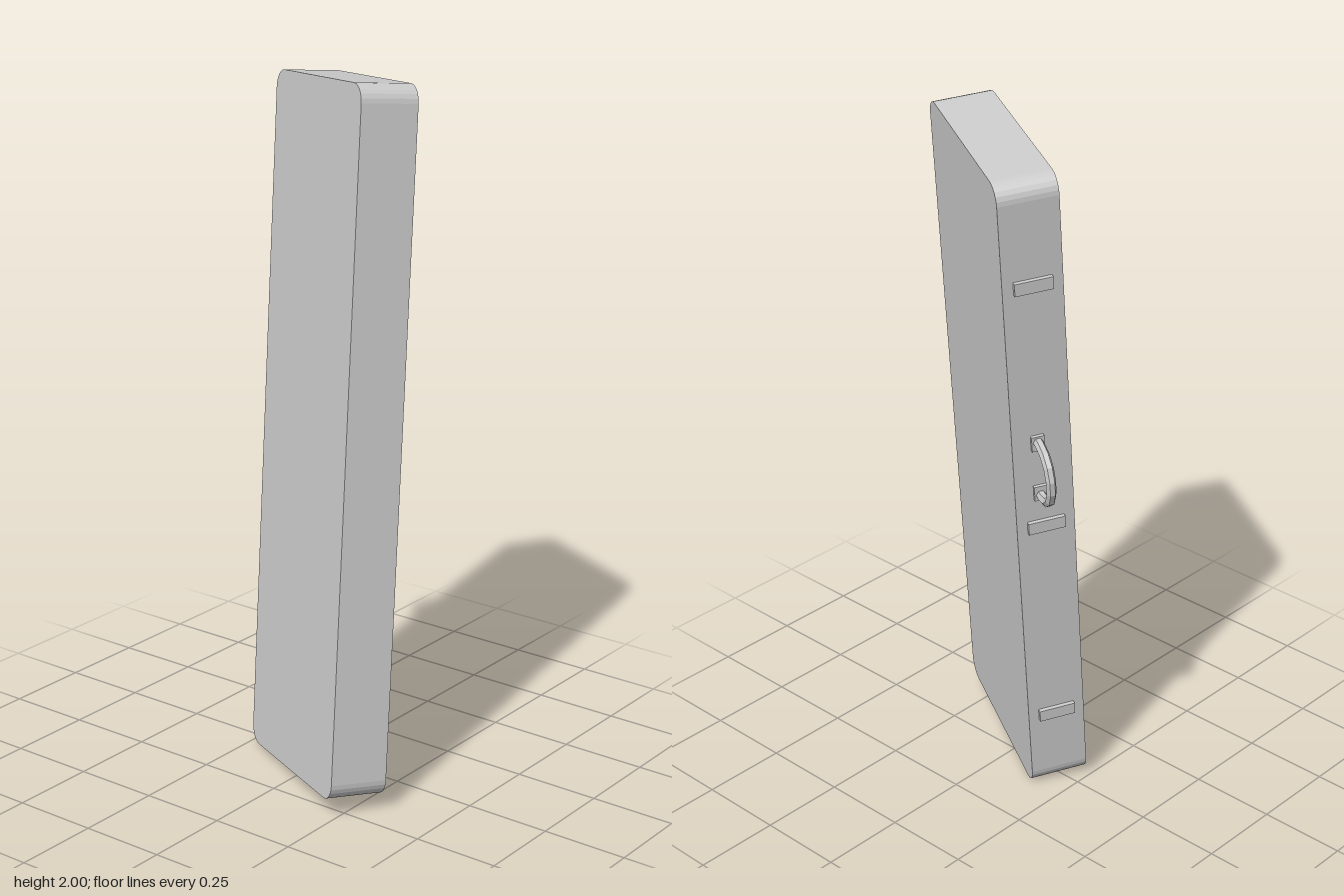
import * as THREE from 'three';

const W = 0.57, H = 1.96, D = 0.165, R = 0.05;

export function createModel() {
  const model = new THREE.Group();
  const leaning = new THREE.Group();
  leaning.name = 'leaningCase';
  model.add(leaning);
  const grey = new THREE.MeshStandardMaterial({ color: 0xcccccc, flatShading: true });

  const add = (name, geometry, x = 0, y = 0, z = 0) => {
    const mesh = new THREE.Mesh(geometry, grey);
    mesh.name = name;
    mesh.position.set(x, y, z);
    leaning.add(mesh);
    return mesh;
  };

  // Case body: rounded rectangle with sharp front and back rims
  const a = W / 2, b = H / 2;
  const outline = new THREE.Shape();
  outline.moveTo(-a + R, -b);
  outline.absarc(a - R, -b + R, R, -Math.PI / 2, 0);
  outline.absarc(a - R, b - R, R, 0, Math.PI / 2);
  outline.absarc(-a + R, b - R, R, Math.PI / 2, Math.PI);
  outline.absarc(-a + R, -b + R, R, Math.PI, Math.PI * 1.5);
  const body = new THREE.ExtrudeGeometry(outline, { depth: D, bevelEnabled: false, curveSegments: 3 });
  add('caseBody', body.translate(0, 0, -D / 2));

  // Three latches along the opening side
  for (const y of [0.69, -0.06, -0.72]) {
    add('latch', new THREE.BoxGeometry(0.024, 0.036, 0.105), -a, y, 0);
  }

  // Carrying handle: faceted loop with a small mount at each end
  const handleY = 0.13, handleZ = -0.012;
  const half = [[0.085, -0.01], [0.083, 0.04], [0.066, 0.077], [0.03, 0.101]];
  const path = [...half, ...half.map(([y, out]) => [-y, out]).reverse()]
    .map(([y, out]) => new THREE.Vector3(-out, y, 0));
  const loop = new THREE.TubeGeometry(new THREE.CatmullRomCurve3(path), 9, 0.014, 6, false);
  add('handle', loop, -a, handleY, handleZ);
  for (const side of [-1, 1]) {
    add('handleMount', new THREE.BoxGeometry(0.02, 0.045, 0.036), -a, handleY + side * 0.08, handleZ);
  }

  // Lean and turn the whole case
  const right = new THREE.Vector3(0.875, 0.0875, 0.477).normalize();
  const front = new THREE.Vector3().crossVectors(right, new THREE.Vector3(-0.035, 0.993, -0.114)).normalize();
  const up = new THREE.Vector3().crossVectors(front, right);
  leaning.quaternion.setFromRotationMatrix(new THREE.Matrix4().makeBasis(right, up, front));
  leaning.position.set(0.0115, 1, 0);
  return model;
}
